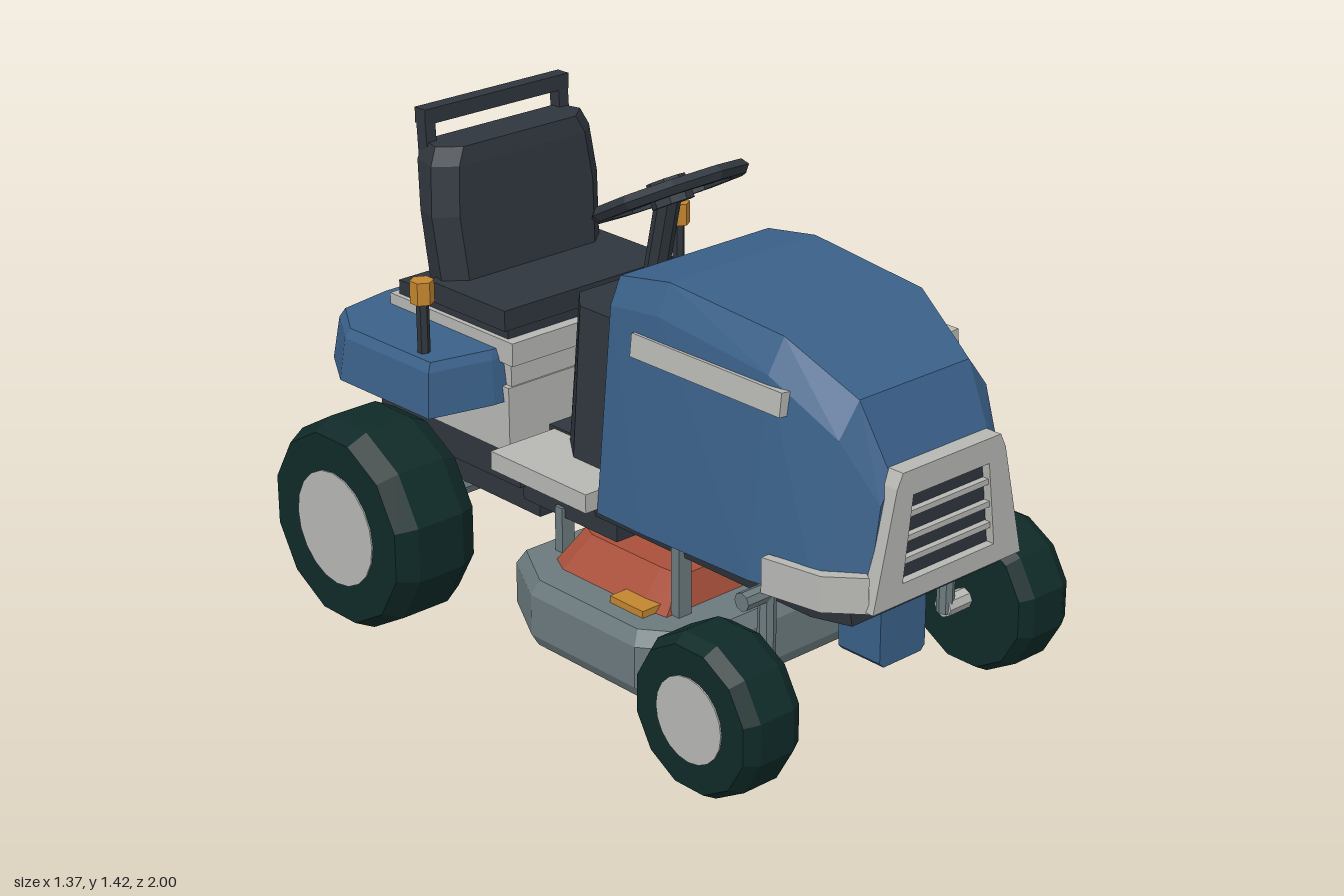
import * as THREE from 'three';

const mat = (name, color) => {
  const m = new THREE.MeshStandardMaterial({ color, flatShading: true });
  m.name = name;
  return m;
};

export function createModel() {
  const blue = mat('blue paint', 0x3a6088), light = mat('light grey', 0xb6b6b3);
  const dark = mat('charcoal', 0x2f363d), tyre = mat('dark green rubber', 0x0f2a28);
  const steel = mat('steel grey', 0x6b797d), red = mat('red cover', 0xa84f3b);
  const orange = mat('amber', 0xc2852f), lampRed = mat('lamp red', 0x96432f);
  const group = new THREE.Group();
  const both = (fn) => [1, -1].forEach(fn);

  const add = (name, geo, material, x = 0, y = 0, z = 0) => {
    const m = new THREE.Mesh(geo, material);
    m.name = name;
    m.position.set(x, y, z);
    group.add(m);
    return m;
  };
  // box given by its limits
  const box = (name, m, x0, x1, y0, y1, z0, z1) =>
    add(name, new THREE.BoxGeometry(Math.abs(x1 - x0), y1 - y0, Math.abs(z1 - z0)), m,
      (x0 + x1) / 2, (y0 + y1) / 2, (z0 + z1) / 2);
  // bar between two points
  const rod = (name, m, a, b, r, sides = 8) => {
    const p = new THREE.Vector3(...a), q = new THREE.Vector3(...b), d = q.clone().sub(p);
    const o = add(name, new THREE.CylinderGeometry(r, r, d.length(), sides), m);
    o.position.copy(p).add(q).multiplyScalar(0.5);
    o.quaternion.setFromUnitVectors(new THREE.Vector3(0, 1, 0), d.normalize());
    return o;
  };
  // closed solid through rings of equal length, turned outward by its volume
  const loft = (rings) => {
    const n = rings[0].length, tris = [];
    for (let i = 0; i < rings.length - 1; i++)
      for (let j = 0; j < n; j++) {
        const k = (j + 1) % n, a = rings[i], b = rings[i + 1];
        tris.push([a[j], a[k], b[k]], [a[j], b[k], b[j]]);
      }
    const e = rings[rings.length - 1], s = rings[0];
    for (let j = 1; j < n - 1; j++) tris.push([s[0], s[j + 1], s[j]], [e[0], e[j], e[j + 1]]);
    let vol = 0;
    const v = (p) => new THREE.Vector3(...p);
    tris.forEach(([a, b, c]) => { vol += v(a).dot(v(b).cross(v(c))); });
    const pos = tris.flatMap((t) => (vol < 0 ? [t[0], t[2], t[1]] : t).flat());
    const g = new THREE.BufferGeometry();
    g.setAttribute('position', new THREE.Float32BufferAttribute(pos, 3));
    g.computeVertexNormals();
    return g;
  };
  const mirrored = (half) => [...half, ...half.slice().reverse().map(([x, ...r]) => [-x, ...r])];
  // symmetric plan outline [x, z] stacked in layers [y, scaleX, scaleZ, centreZ]
  const stack = (half, layers) => loft(layers.map(([y, sx, sz, c]) =>
    mirrored(half).map(([x, z]) => [x * sx, y, c + (z - c) * sz])));

  // hood: sections [z, bottomY, bottomX, shoulderX, shoulderY, topX, topY]
  add('hood', loft([
    [0.06, 0.5, 0.36, 0.305, 1.08, 0.27, 1.155],
    [0.245, 0.505, 0.37, 0.305, 1.1, 0.265, 1.185],
    [0.65, 0.515, 0.37, 0.305, 1.06, 0.25, 1.15],
    [0.865, 0.525, 0.34, 0.27, 0.94, 0.2, 1.03],
    [0.965, 0.53, 0.26, 0.22, 0.78, 0.18, 0.84],
  ].map(([z, by, bx, sx, sy, tx, ty]) => mirrored([[bx, by, z], [sx, sy, z], [tx, ty, z]]))), blue);
  both((s) => {
    const stripe = add('hoodStripe', new THREE.BoxGeometry(0.03, 0.065, 0.555), light, s * 0.311, 1.003, 0.438);
    stripe.rotation.z = s * 0.11;
    const pts = [[0.25, 0.95], [0.27, 0.98], [0.35, 0.89], [0.382, 0.71], [0.355, 0.71], [0.325, 0.87]];
    const g = new THREE.ExtrudeGeometry(new THREE.Shape(pts.map(([x, z]) => new THREE.Vector2(s * x, z))),
      { depth: 0.1, bevelEnabled: false });
    g.rotateX(Math.PI / 2);
    add('cornerTrim', g, light, 0, 0.605, 0);
  });

  // grille
  const poly = (pts) => pts.map(([x, y]) => new THREE.Vector2(x, y));
  const frame = new THREE.Shape(poly([[-0.275, 0.51], [0.275, 0.51], [0.2, 0.83], [0.18, 0.87], [-0.18, 0.87], [-0.2, 0.83]]));
  frame.holes.push(new THREE.Path(poly([[-0.17, 0.565], [-0.14, 0.8], [0.14, 0.8], [0.17, 0.565]])));
  add('grilleFrame', new THREE.ExtrudeGeometry(frame, { depth: 0.05, bevelEnabled: false }), light, 0, 0, 0.95);
  box('grilleBack', dark, -0.17, 0.17, 0.55, 0.81, 0.96, 0.975);
  [0.62, 0.68, 0.745].forEach((y) => box('grilleSlat', light, -0.16, 0.16, y - 0.008, y + 0.008, 0.97, 0.993));

  // chassis
  add('frontFrame', stack([[0.29, 0.93], [0.33, 0.82], [0.33, 0]], [[0.455, 0.95, 1, 0.4], [0.53, 1, 1, 0.4]]), dark);
  box('midFrame', dark, -0.29, 0.29, 0.39, 0.51, -0.33, 0.06);
  box('rearFrame', dark, -0.24, 0.24, 0.32, 0.46, -0.9, -0.32);
  box('rearRails', dark, -0.31, 0.31, 0.43, 0.53, -0.94, -0.32);
  box('footPlate', light, -0.4, 0.4, 0.51, 0.565, -0.335, 0.06);
  box('tunnel', dark, -0.17, 0.17, 0.5, 0.572, -0.37, -0.2);
  add('frontBracket', loft([0.7, 0.85].map((z) =>
    mirrored([[0.07, 0.235, z], [0.085, 0.25, z], [0.085, 0.48, z]]))), blue);

  // dashboard and steering
  add('dashboard', stack([[0.26, 0.01], [0.26, -0.15], [0.19, -0.245]],
    [[0.56, 1, 1, 0], [1.01, 0.95, 0.84, -0.02]]), dark);
  rod('steeringColumn', dark, [0, 1, -0.11], [0, 1.29, -0.045], 0.035);
  const steering = new THREE.Group();
  steering.name = 'steeringWheel';
  const ring = new THREE.LatheGeometry(poly([[0.175, -0.02], [0.215, -0.02], [0.23, 0], [0.215, 0.02], [0.175, 0.02], [0.175, -0.02]]), 10);
  steering.add(new THREE.Mesh(ring, dark), new THREE.Mesh(new THREE.CylinderGeometry(0.055, 0.06, 0.07, 8), dark));
  [0, Math.PI / 2, Math.PI].forEach((a) => {
    const spoke = new THREE.Mesh(new THREE.BoxGeometry(0.17, 0.022, 0.04), dark);
    spoke.position.set(Math.cos(a) * 0.105, 0, -Math.sin(a) * 0.105);
    spoke.rotation.y = a;
    steering.add(spoke);
  });
  steering.children.forEach((m, i) => { m.name = ['rim', 'hub'][i] || 'spoke'; });
  steering.position.set(0, 1.297, -0.043);
  steering.rotation.x = -0.49;
  group.add(steering);

  // rear body, fender and seat
  box('rearBody', light, -0.315, 0.315, 0.525, 0.72, -0.94, -0.355);
  box('seatSupport', light, -0.3, 0.3, 0.7, 0.81, -0.8, -0.36);
  add('fender', stack([[0.35, -0.375], [0.545, -0.42], [0.55, -0.81], [0.46, -0.96], [0.28, -0.995]],
    [[0.675, 1, 1, -0.68], [0.8, 0.97, 0.94, -0.68], [0.825, 0.94, 0.9, -0.68]]), blue);
  box('seatBase', light, -0.315, 0.315, 0.79, 0.858, -0.875, -0.335);
  box('tailLamp', lampRed, -0.08, 0.08, 0.575, 0.64, -0.965, -0.935);
  box('seatPan', dark, -0.3, 0.3, 0.85, 0.9, -0.85, -0.37);
  box('seatCushion', dark, -0.315, 0.315, 0.885, 0.945, -0.7, -0.365);
  add('seatBack', loft([[0.9, 0.29, -0.61, -0.74], [1.13, 0.305, -0.635, -0.76], [1.27, 0.29, -0.65, -0.785], [1.32, 0.265, -0.66, -0.785]]
    .map(([y, x, f, b]) => mirrored([[x - 0.06, y, f], [x, y, f - 0.05], [x - 0.02, y, b]]))), dark);
  box('seatRail', dark, -0.262, 0.262, 1.37, 1.415, -0.8, -0.755);
  both((s) => {
    const leg = add('seatRailLeg', new THREE.BoxGeometry(0.035, 0.21, 0.04), dark, s * 0.243, 1.295, -0.772);
    leg.rotation.x = -0.06;
  });

  // marker lamps
  both((s) => {
    rod('lampPost', dark, [s * 0.475, 0.8, -0.52], [s * 0.475, 0.98, -0.52], 0.018, 6);
    rod('markerLamp', orange, [s * 0.475, 0.97, -0.52], [s * 0.475, 1.035, -0.52], 0.034, 6);
  });

  // mower deck
  add('mowerDeck', stack([[0.38, 0.475], [0.48, 0.34], [0.48, -0.08], [0.38, -0.26]],
    [[0.09, 0.96, 0.96, 0.1], [0.125, 1, 1, 0.1], [0.245, 1, 1, 0.1], [0.285, 0.95, 0.94, 0.1]]), steel);
  add('deckCover', stack([[0.36, 0.33], [0.37, 0.24], [0.37, -0.08], [0.34, -0.14]],
    [[0.28, 1, 1, 0.1], [0.372, 0.76, 0.86, 0.13]]), red);
  both((s) => {
    box('deckPad', orange, s * 0.34, s * 0.405, 0.28, 0.305, 0.16, 0.29);
    box('frontHanger', steel, s * 0.29, s * 0.335, 0.27, 0.52, 0.325, 0.355);
    box('rearHanger', steel, s * 0.255, s * 0.3, 0.27, 0.42, -0.185, -0.155);
    rod('deckRoller', tyre, [s * 0.25, 0.105, 0.485], [s * 0.29, 0.105, 0.485], 0.046);
  });

  // axles
  rod('frontAxle', steel, [-0.43, 0.488, 0.69], [0.43, 0.488, 0.69], 0.026);
  rod('rearAxle', steel, [-0.45, 0.3, -0.685], [0.45, 0.3, -0.685], 0.035);
  both((s) => {
    rod('kingpin', steel, [s * 0.34, 0.2, 0.69], [s * 0.34, 0.51, 0.69], 0.025);
    rod('frontStub', light, [s * 0.33, 0.215, 0.69], [s * 0.44, 0.215, 0.69], 0.03);
  });

  // wheels: twelve-sided tyre with an outer hub disc
  const wheel = (name, s, x, r, z, w, hubR, cut) => {
    const R = r / Math.cos(Math.PI / 12), h = w / 2;
    const g = new THREE.LatheGeometry(poly([[0, -h], [R * 0.72, -h], [R * 0.9, -h], [R, -h + cut], [R, h - cut], [R * 0.9, h], [R * 0.72, h], [0, h]]), 12);
    g.rotateY(Math.PI / 12);
    g.rotateZ(Math.PI / 2);
    add(name, g, tyre, s * x, r, z);
    rod(name + 'Hub', light, [s * x, r, z], [s * (x + h + 0.004), r, z], hubR, 20);
  };
  both((s) => {
    wheel('rearWheel', s, 0.543, 0.3, -0.685, 0.275, 0.17, 0.06);
    wheel('frontWheel', s, 0.513, 0.218, 0.69, 0.195, 0.12, 0.04);
  });
  return group;
}
